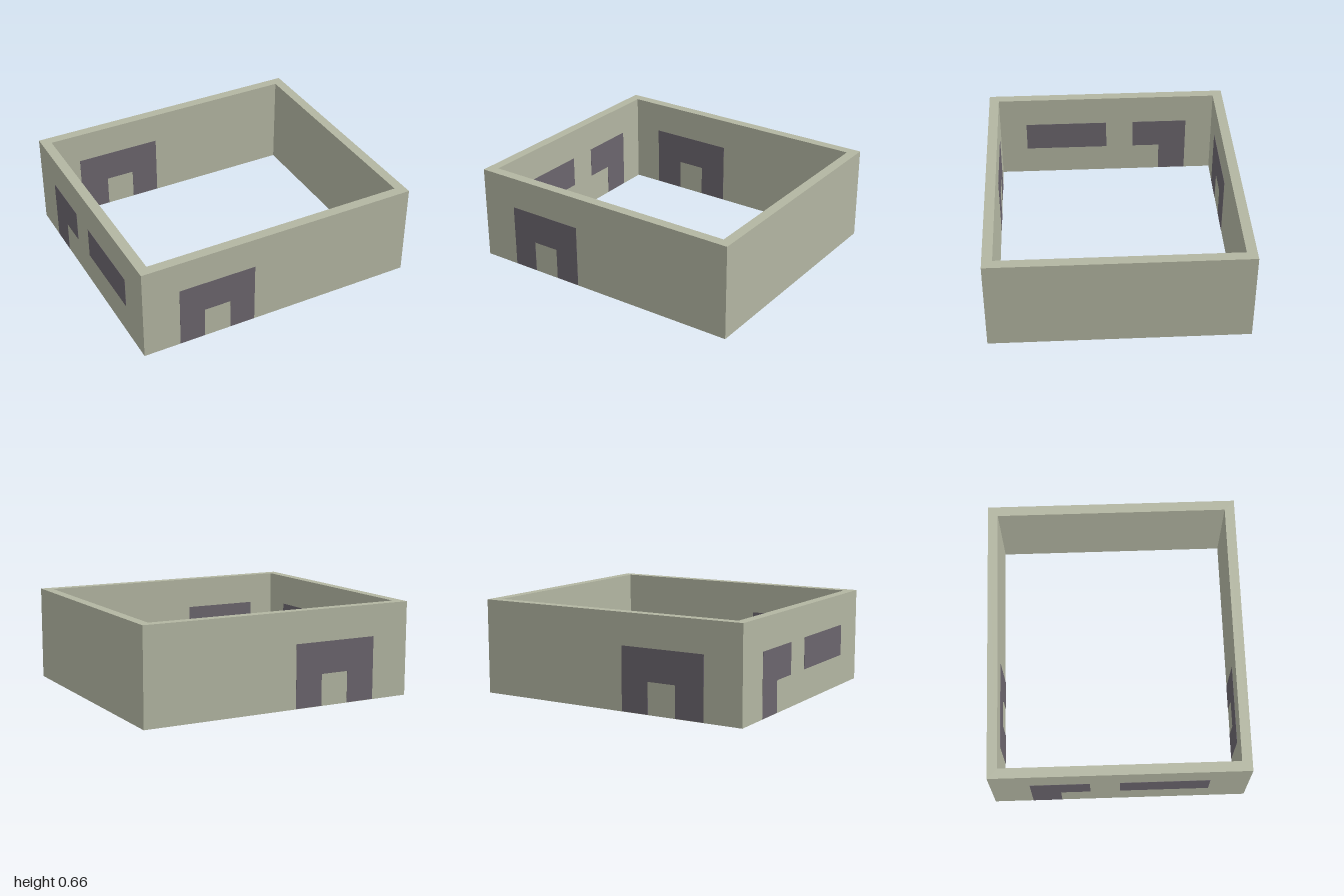
import * as THREE from 'three';

const HX = 1, HZ = 0.885, HEIGHT = 0.66, WALL = 0.07;
const PROUD = 0.0015; // panels stand a hair proud of both wall faces

const wallMat = new THREE.MeshStandardMaterial({ color: 0xb3b6a2 });
const panelMat = new THREE.MeshStandardMaterial({ color: 0x6b656d });

const rectPoints = (x, z) => [[-x, -z], [x, -z], [x, z], [-x, z]].map(([a, b]) => new THREE.Vector2(a, b));

// Outline in (position along the wall, height), extruded through the wall thickness
function panel(name, points) {
  const shape = new THREE.Shape(points.map(([u, y]) => new THREE.Vector2(u, y)));
  const depth = WALL + 2 * PROUD;
  const geo = new THREE.ExtrudeGeometry(shape, { depth, bevelEnabled: false });
  geo.translate(0, 0, -depth / 2);
  const mesh = new THREE.Mesh(geo, panelMat);
  mesh.name = name;
  return mesh;
}

const BASE = 0.002, MID = 0.22, TOP = 0.44;

// Door surround: two legs and a lintel around a door-sized gap
const archPoints = (u0, u1, u2, u3) => [
  [u0, BASE], [u1, BASE], [u1, MID], [u2, MID], [u2, BASE], [u3, BASE], [u3, TOP], [u0, TOP],
];

export function createModel() {
  const group = new THREE.Group();
  group.name = 'walledEnclosure';

  // Four walls as one open rectangular ring
  const ring = new THREE.Shape(rectPoints(HX, HZ));
  ring.holes.push(new THREE.Path(rectPoints(HX - WALL, HZ - WALL).reverse()));
  const ringGeo = new THREE.ExtrudeGeometry(ring, { depth: HEIGHT, bevelEnabled: false });
  ringGeo.rotateX(-Math.PI / 2);
  const walls = new THREE.Mesh(ringGeo, wallMat);
  walls.name = 'walls';
  group.add(walls);

  // Door surrounds in the front and back walls
  const front = panel('frontDoorSurround', archPoints(-0.74, -0.56, -0.37, -0.19));
  front.position.z = HZ - WALL / 2;
  const back = panel('backDoorSurround', archPoints(-0.725, -0.515, -0.31, -0.11));
  back.position.z = -HZ + WALL / 2;
  group.add(front, back);

  // Side wall panels: a half surround and a window band (turned so u runs along z)
  const side = new THREE.Group();
  side.name = 'sidePanels';
  side.add(
    panel('halfDoorSurround', [[-0.615, BASE], [-0.41, BASE], [-0.41, MID], [-0.205, MID], [-0.205, TOP], [-0.615, TOP]]),
    panel('windowBand', [[0, MID], [0.615, MID], [0.615, TOP], [0, TOP]]),
  );
  side.rotation.y = -Math.PI / 2;
  side.position.x = -HX + WALL / 2;
  group.add(side);

  return group;
}
